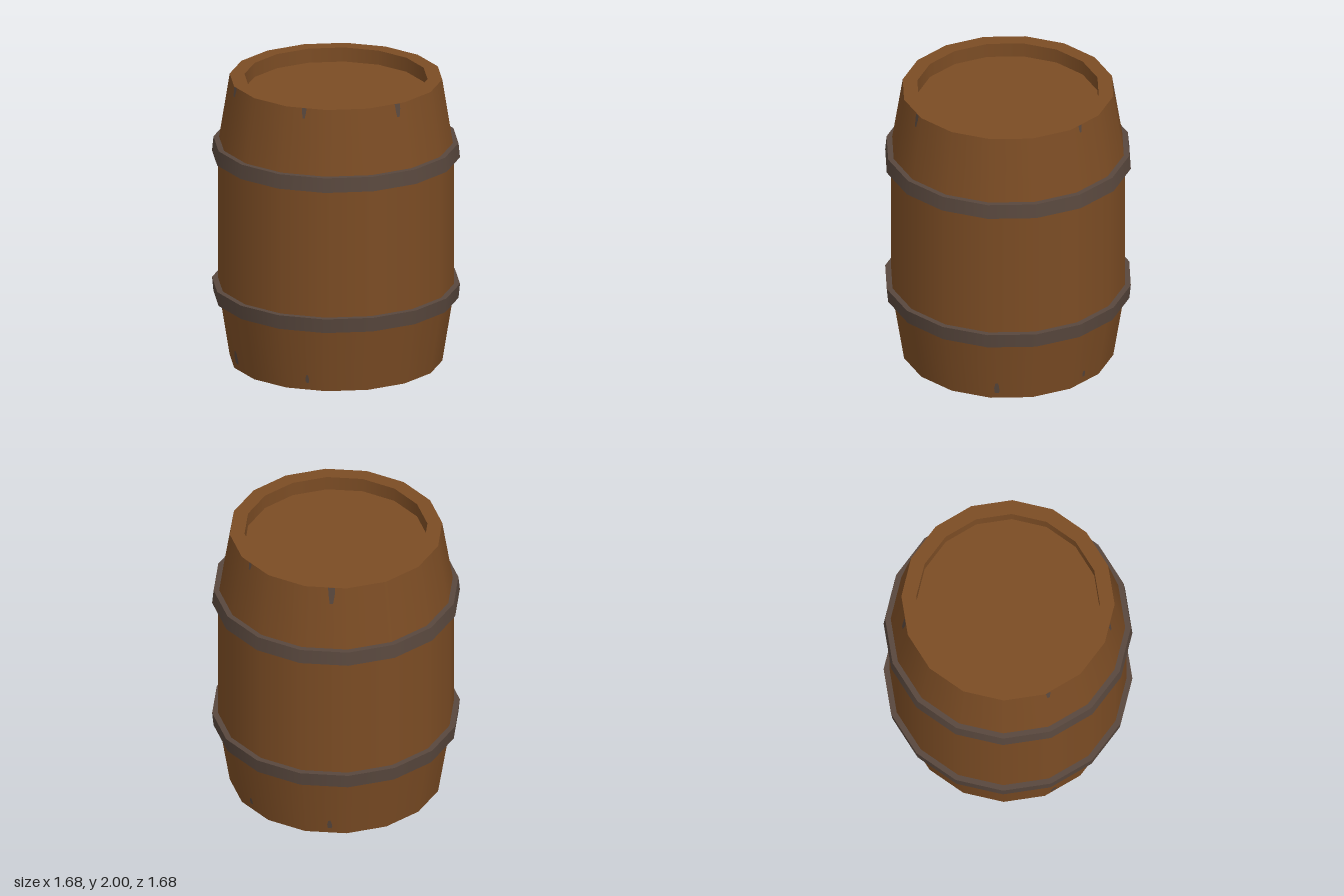
import * as THREE from 'three';

const SIDES = 16;

// One lathe strip per profile segment: smooth around, sharp along the profile
function turned(name, profile, material) {
  const group = new THREE.Group();
  group.name = name;
  for (let i = 0; i < profile.length - 1; i++) {
    const pts = [profile[i], profile[i + 1]].map(([r, y]) => new THREE.Vector2(r, y));
    const mesh = new THREE.Mesh(new THREE.LatheGeometry(pts, SIDES), material);
    mesh.name = name + 'Strip' + (i + 1);
    group.add(mesh);
  }
  return group;
}

// Radius of the faceted barrel wall near its ends
function wallRadius(angle, y) {
  const step = (Math.PI * 2) / SIDES;
  const local = (((angle % step) + step) % step) - step / 2;
  const r = 0.72 + 0.16 * Math.min(y, 2 - y, 0.5);
  return (r * Math.cos(step / 2)) / Math.cos(local);
}

// Thin chip laid just over the wall
function chip(name, degrees, y0, y1, width, outline, material) {
  const shape = new THREE.Shape(outline.map(([u, v]) => new THREE.Vector2(u * width, y0 + v * (y1 - y0))));
  const geo = new THREE.ShapeGeometry(shape);
  const p = geo.attributes.position;
  for (let i = 0; i < p.count; i++) {
    const y = p.getY(i);
    const a = THREE.MathUtils.degToRad(degrees) + p.getX(i) / 0.73;
    const r = wallRadius(a, y) + 0.003;
    p.setXYZ(i, Math.sin(a) * r, y, Math.cos(a) * r);
  }
  geo.computeVertexNormals();
  const mesh = new THREE.Mesh(geo, material);
  mesh.name = name;
  return mesh;
}

export function createModel() {
  const wood = new THREE.MeshStandardMaterial({ color: 0x7b4c24 });
  wood.name = 'wood';
  const iron = new THREE.MeshStandardMaterial({ color: 0x58473d });
  iron.name = 'iron';

  const barrel = new THREE.Group();
  barrel.name = 'barrel';

  // Staves, rims and recessed ends
  barrel.add(turned('body', [
    [0, 0.1], [0.68, 0.1], [0.68, 0], [0.72, 0], [0.8, 0.5],
    [0.8, 1.5], [0.72, 2], [0.62, 2], [0.62, 1.9], [0, 1.9],
  ], wood));

  // Hoops, slightly narrower towards the barrel ends
  barrel.add(turned('lowerHoop', [[0.77, 0.45], [0.83, 0.45], [0.84, 0.55], [0.77, 0.55]], iron));
  barrel.add(turned('upperHoop', [[0.77, 1.45], [0.84, 1.45], [0.83, 1.55], [0.77, 1.55]], iron));

  // Chips hanging from the top rim: angle, lower edge, width
  const hanging = [[-0.25, 0], [0.2, 0], [0.45, 0.6], [0.5, 1], [-0.5, 1], [-0.4, 0.5]];
  [[10, 1.93, 0.033], [-43, 1.935, 0.035], [63, 1.91, 0.042], [165, 1.95, 0.03], [217, 1.88, 0.05]]
    .forEach(([a, y, w], i) => barrel.add(chip('topChip' + (i + 1), a, y, 2, w, hanging, iron)));

  // Chips near the foot: angle, lower edge, upper edge, width
  const standing = [[-0.4, 0.05], [0.3, 0], [0.5, 0.2], [0.35, 0.75], [0.1, 1], [-0.25, 0.95], [-0.5, 0.5]];
  [[12, 0.05, 0.11, 0.027], [-40, 0.045, 0.14, 0.045], [116, 0.04, 0.125, 0.037], [167, 0.05, 0.1, 0.027], [216, 0.04, 0.11, 0.035]]
    .forEach(([a, y0, y1, w], i) => barrel.add(chip('footChip' + (i + 1), a, y0, y1, w, standing, iron)));

  return barrel;
}
